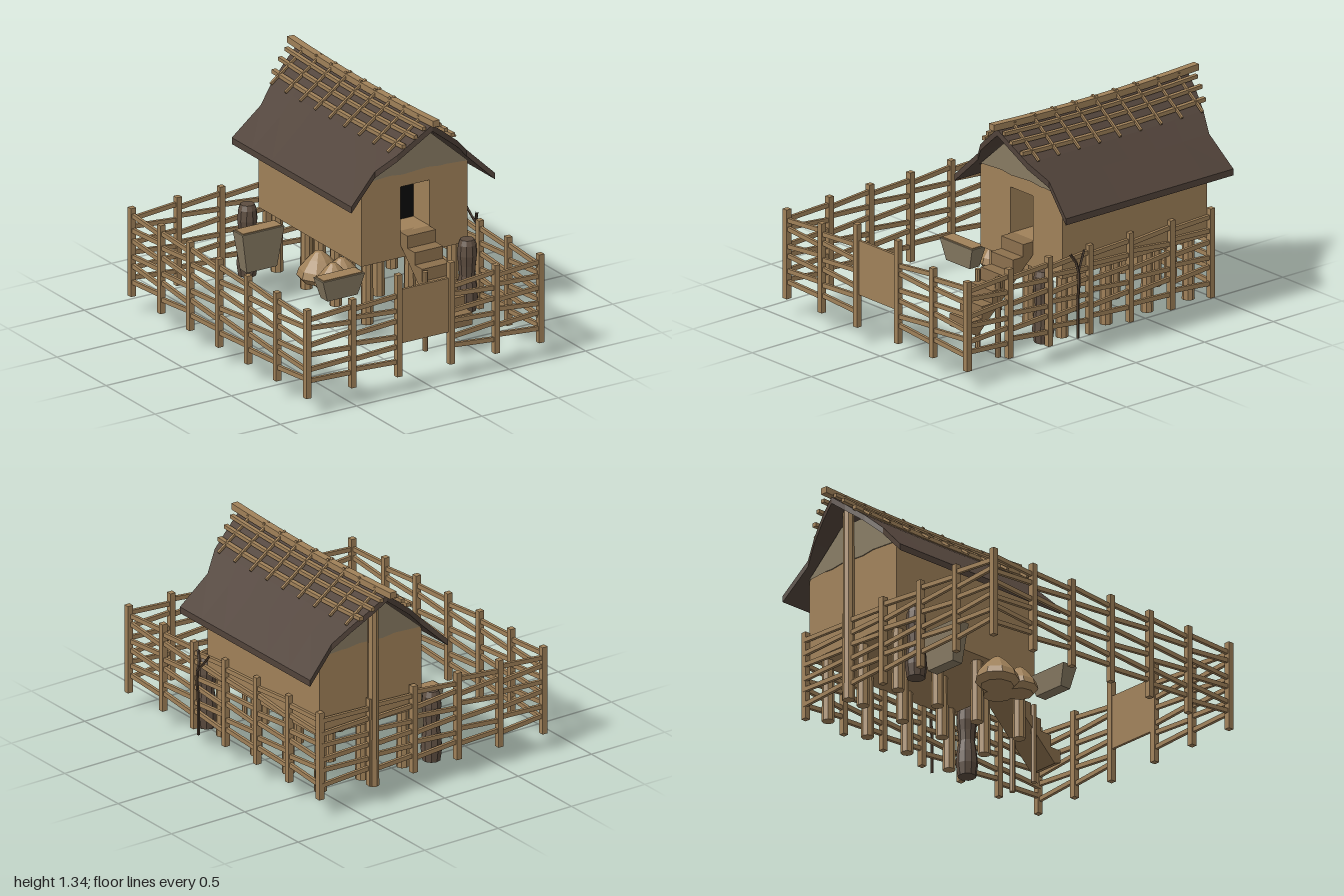
import * as THREE from 'three';

export function createModel() {
  const root = new THREE.Group();
  const mat = (name, color, extra = {}) => {
    const m = new THREE.MeshStandardMaterial({ color, flatShading: true, ...extra });
    m.name = name;
    return m;
  };
  const wood = mat('wood', 0xa08159);
  const clay = mat('greyClay', 0x877a62);
  const thatch = mat('thatch', 0x51433a, { side: THREE.DoubleSide });
  const jarMat = mat('jarBrown', 0x5d4d40);
  const stairMat = mat('stairWood', 0x8c704d);
  const dark = mat('doorDark', 0x0a0a0a);
  const bark = mat('bark', 0x4a3a2c);

  const add = (name, geo, m, x = 0, y = 0, z = 0, parent = root) => {
    const mesh = new THREE.Mesh(geo, m);
    mesh.name = name;
    mesh.position.set(x, y, z);
    parent.add(mesh);
    return mesh;
  };
  const group = (name) => {
    const g = new THREE.Group();
    g.name = name;
    root.add(g);
    return g;
  };
  const V = (a) => new THREE.Vector3(...a);
  // Square bar between two points
  const bar = (name, a, b, w, h, m, parent = root) => {
    const p = V(a), q = V(b);
    const mesh = add(name, new THREE.BoxGeometry(w, h, p.distanceTo(q)), m, 0, 0, 0, parent);
    mesh.position.copy(p).add(q).multiplyScalar(0.5);
    mesh.lookAt(q);
    return mesh;
  };
  let seed = 7;
  const rnd = () => (seed = (seed * 16807) % 2147483647) / 2147483647 - 0.5;

  // Fence
  const fence = group('fence');
  const railY = [0.205, 0.28, 0.355, 0.43, 0.51, 0.58];
  const post = (x, z, top = 0.635) =>
    add('fencePost', new THREE.BoxGeometry(0.034, top - 0.11, 0.034), wood, x, (top + 0.11) / 2, z, fence);
  const fenceBay = (a, b) => railY.forEach((y, i) => {
    const tilt = (i % 2 ? -1 : 1) * 0.01 + rnd() * 0.01;
    bar('fenceRail', [a[0], y + tilt, a[1]], [b[0], y - tilt, b[1]], 0.018, 0.026, wood, fence);
  });
  const runs = [
    [[-0.81, 0.98], [-0.515, 0.98], [-0.215, 0.98]],
    [[0.13, 0.98], [0.425, 0.98], [0.715, 0.98]],
    [0.98, 0.67, 0.375, 0.08, -0.215, -0.51, -0.81].map((z) => [-0.81, z]),
    [0.98, 0.67, 0.38, 0.085, -0.21, -0.51, -0.8].map((z) => [0.705, z]),
    [-0.81, -0.51, -0.225, 0.075, 0.37, 0.705].map((x) => [x, -0.81]),
  ];
  const placed = new Set();
  for (const run of runs) {
    run.forEach(([x, z], i) => {
      const key = Math.round(x * 20) + ',' + Math.round(z * 20);
      const gatePost = z === 0.98 && (x === -0.215 || x === 0.13);
      if (!placed.has(key)) post(x, z, gatePost ? 0.715 : 0.635);
      placed.add(key);
      if (i) fenceBay(run[i - 1], run[i]);
    });
  }
  add('gate', new THREE.BoxGeometry(0.33, 0.32, 0.016), wood, -0.0425, 0.46, 0.975);

  // House walls
  const CX = 0.35;
  const outline = () => new THREE.Shape([
    [0, 0.47], [0.695, 0.47], [0.695, 0.95], [0.43, 1.19], [0.27, 1.19], [0, 0.95],
  ].map((p) => new THREE.Vector2(...p)));
  const extrude = (shape, depth) => new THREE.ExtrudeGeometry(shape, { depth, bevelEnabled: false });
  const rectPath = (x0, y0, x1, y1) => new THREE.Path([[x0, y0], [x0, y1], [x1, y1], [x1, y0]]
    .map((p) => new THREE.Vector2(...p)));
  const house = group('house');
  add('houseBody', extrude(outline(), 0.88), wood, 0, 0, -0.78, house);
  const front = outline();
  front.holes.push(rectPath(0.255, 0.62, 0.445, 0.89));
  add('frontWall', extrude(front, 0.17), wood, 0, 0, 0.1, house);
  add('doorway', new THREE.BoxGeometry(0.19, 0.27, 0.006), dark, 0.35, 0.755, 0.104, house);

  // Clay gables with an uneven lower edge
  const gablePts = [[0.695, 0.955], [0.43, 1.19], [0.27, 1.19], [0, 0.955]];
  for (let i = 0; i <= 8; i++) gablePts.push([0.02 + i * 0.082, 0.968 + (i % 3 - 1) * 0.005]);
  const gable = new THREE.Shape(gablePts.map((p) => new THREE.Vector2(...p)));
  for (const z of [0.268, -0.786]) add('gable', extrude(gable, 0.008), clay, 0, 0, z, house);

  // Stilts and the tall rear ridge post
  for (const x of [0.07, 0.35, 0.63])
    for (const z of [0.22, -0.1, -0.4, -0.7])
      add('stilt', new THREE.CylinderGeometry(0.033, 0.036, 0.38, 8), wood, x, 0.295, z, house);
  add('ridgePost', new THREE.CylinderGeometry(0.03, 0.034, 1.15, 8), wood, CX, 0.68, -0.81, house);

  // Thatched roof: half width, height, front z, back z
  const half = [[0.47, 0.88, 0.355, -0.865], [0.3, 1.04, 0.33, -0.835], [0.2, 1.135, 0.4, -0.88],
    [0.085, 1.225, 0.43, -0.92], [0, 1.29, 0.45, -0.94]];
  const sag = (z) => 0.02 * ((z + 0.25) / 0.75) ** 2;
  const prof = [...half.map(([h, ...r]) => [CX - h, ...r]),
    ...half.slice(0, -1).reverse().map(([h, ...r]) => [CX + h, ...r])];
  const N = 6, pos = [];
  const pt = (i, j, drop) => {
    const [x, y, zf, zb] = prof[i];
    const z = zf + (zb - zf) * j / N;
    return [x, y + (i > 0 && i < prof.length - 1 ? sag(z) * 0.5 : 0) - drop, z];
  };
  const quad = (a, b, c, d) => pos.push(...a, ...b, ...c, ...a, ...c, ...d);
  const T = 0.038;
  for (let i = 0; i < prof.length - 1; i++) {
    for (let j = 0; j < N; j++) {
      quad(pt(i, j, 0), pt(i + 1, j, 0), pt(i + 1, j + 1, 0), pt(i, j + 1, 0));
      quad(pt(i, j, T), pt(i, j + 1, T), pt(i + 1, j + 1, T), pt(i + 1, j, T));
    }
    quad(pt(i, 0, T), pt(i + 1, 0, T), pt(i + 1, 0, 0), pt(i, 0, 0));
    quad(pt(i, N, 0), pt(i + 1, N, 0), pt(i + 1, N, T), pt(i, N, T));
  }
  const last = prof.length - 1;
  for (let j = 0; j < N; j++) {
    quad(pt(0, j, T), pt(0, j, 0), pt(0, j + 1, 0), pt(0, j + 1, T));
    quad(pt(last, j, 0), pt(last, j, T), pt(last, j + 1, T), pt(last, j + 1, 0));
  }
  const roofGeo = new THREE.BufferGeometry();
  roofGeo.setAttribute('position', new THREE.Float32BufferAttribute(pos, 3));
  roofGeo.computeVertexNormals();
  add('thatchedRoof', roofGeo, thatch);

  // Sagging poles along the roof and tie sticks across it
  const poles = group('roofPoles');
  const pole = (name, x, y, z0, z1, w) => {
    const g = new THREE.BoxGeometry(w, w * 0.9, z0 - z1, 1, 1, 8).translate(x, y, (z0 + z1) / 2);
    const p = g.attributes.position;
    for (let i = 0; i < p.count; i++) p.setY(i, p.getY(i) + sag(p.getZ(i)));
    g.computeVertexNormals();
    add(name, g, wood, 0, 0, 0, poles);
  };
  pole('ridgePole', CX, 1.3, 0.49, -1, 0.042);
  for (const s of [-1, 1]) {
    pole('upperPole', CX + s * 0.05, 1.268, 0.445, -0.96, 0.024);
    pole('middlePole', CX + s * 0.1, 1.225, 0.435, -0.95, 0.024);
    pole('lowerPole', CX + s * 0.16, 1.175, 0.41, -0.92, 0.026);
    for (let k = 0; k < 9; k++) {
      const z = -0.855 + k * 0.149;
      bar('tieStick', [CX + s * 0.222, 1.148, z], [CX - s * 0.02, 1.325, z], 0.014, 0.014, wood, poles);
    }
  }

  // Stairs with two support legs
  const steps = 6, rise = 0.073, run = 0.075;
  const stair = [[0.25, 0.62]];
  for (let i = 0; i < steps; i++) {
    const z = 0.265 + (i + 1) * run, y = 0.62 - i * rise;
    stair.push([z, y], [z, y - rise]);
  }
  stair.push([0.67, 0.165], [0.25, 0.56]);
  const stairGeo = extrude(new THREE.Shape(stair.map((p) => new THREE.Vector2(...p))), 0.185);
  stairGeo.rotateY(-Math.PI / 2);
  add('stairs', stairGeo, stairMat, 0.4425, 0, 0);
  for (const x of [0.262, 0.434])
    add('stairLeg', new THREE.CylinderGeometry(0.016, 0.016, 0.47, 8), wood, x, 0.235, 0.515);

  // Tall jars
  const jarProfile = [[0, 0], [0.052, 0], [0.062, 0.07], [0.057, 0.14], [0.046, 0.21], [0.05, 0.27],
    [0.058, 0.33], [0.052, 0.39], [0.04, 0.42], [0, 0.42]].map((p) => new THREE.Vector2(...p));
  for (const [x, z] of [[0.635, 0.36], [-0.105, -0.73]])
    add('jar', new THREE.LatheGeometry(jarProfile, 10), jarMat, x, 0.11, z);

  // Feeding troughs: tapered boxes with a filled top
  const trough = (z, y0, y1) => {
    const g = new THREE.BoxGeometry(0.275, y1 - y0, 0.1);
    const p = g.attributes.position;
    for (let i = 0; i < p.count; i++) if (p.getY(i) < 0) {
      p.setX(i, p.getX(i) * 0.72);
      p.setZ(i, p.getZ(i) * 0.7);
    }
    g.computeVertexNormals();
    add('trough', g, clay, -0.147, (y0 + y1) / 2, z);
    add('troughFill', new THREE.BoxGeometry(0.255, 0.008, 0.082), wood, -0.147, y1 + 0.002, z);
  };
  trough(0.272, 0.33, 0.455);
  trough(-0.55, 0.22, 0.455);

  // Hay mounds
  const mound = (x, z, r, h) => add('hayMound', new THREE.LatheGeometry(
    [[0, 0], [0.75, 0], [1, 0.2], [0.9, 0.42], [0.5, 0.75], [0.18, 0.95], [0, 1]]
      .map(([a, b]) => new THREE.Vector2(a * r, b * h)), 9), wood, x, 0.29, z);
  mound(-0.06, -0.07, 0.125, 0.18);
  mound(-0.07, 0.09, 0.105, 0.165);
  mound(0.03, 0.02, 0.11, 0.15);

  // Bare forked branch beside the fence
  const branch = (pts, r) => add('branch', new THREE.TubeGeometry(
    new THREE.CatmullRomCurve3(pts.map(V)), 8, r, 5), bark);
  branch([[0.782, 0.14, 0.235], [0.782, 0.36, 0.235], [0.792, 0.5, 0.235], [0.775, 0.57, 0.235], [0.758, 0.635, 0.27]], 0.009);
  branch([[0.788, 0.53, 0.235], [0.77, 0.58, 0.2], [0.755, 0.635, 0.165]], 0.007);

  return root;
}
